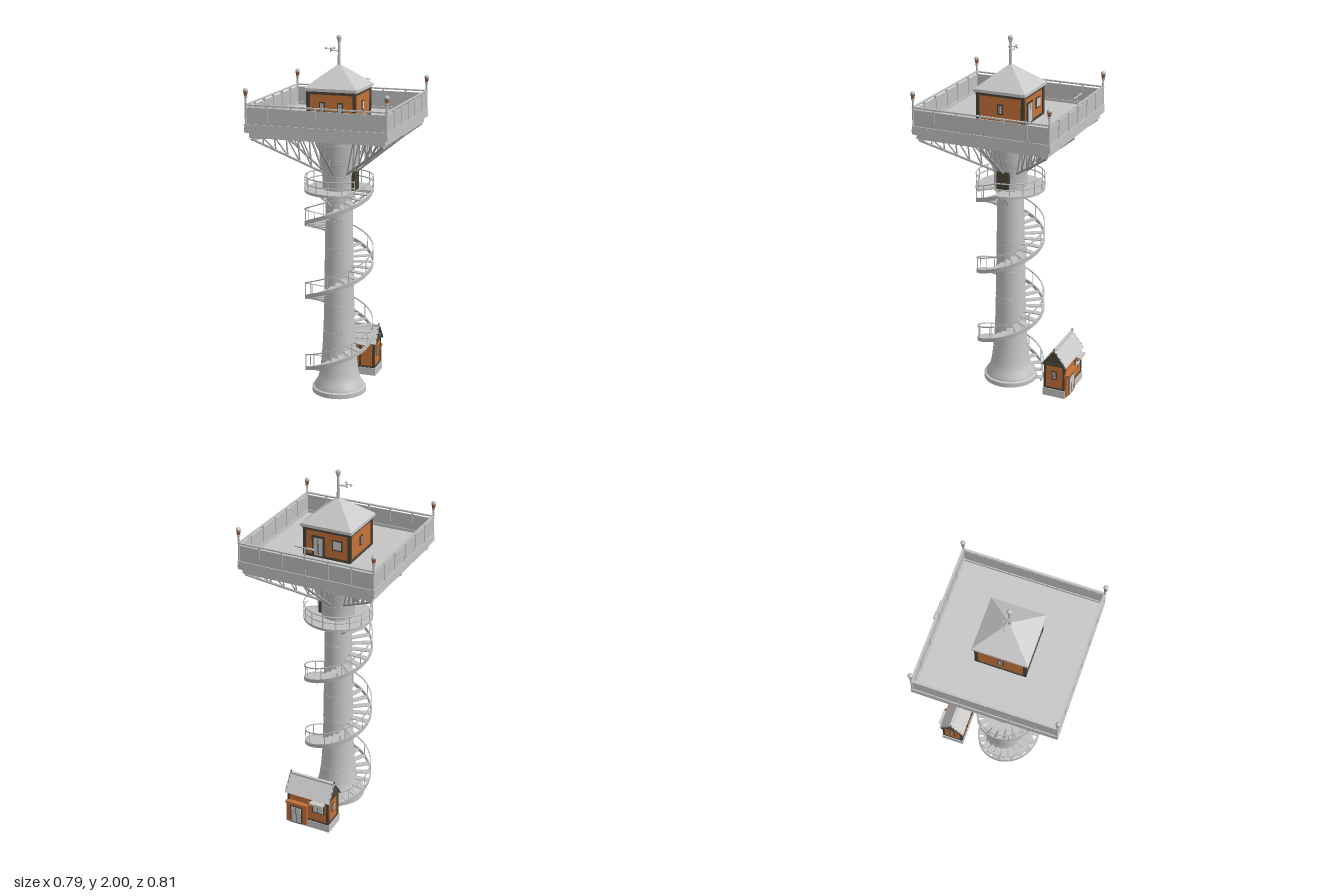
import * as THREE from 'three';
import { toCreasedNormals } from 'three/addons/utils/BufferGeometryUtils.js';

const mat = (name, color) => Object.assign(new THREE.MeshStandardMaterial({ color }), { name });
const M = {
  concrete: mat('concrete', 0xc5c5c5),
  steel: mat('steel', 0xbebfbf),
  truss: mat('truss steel', 0xa4a5a5),
  roof: mat('roof', 0xc8c8c8),
  brick: mat('orange brick', 0xc67238),
  timber: mat('dark timber', 0x4b4337),
  pane: mat('pane', 0xcacccc),
  lamp: mat('lamp', 0x9c5a38),
};
const PI = Math.PI;

function add(parent, name, geo, m, x = 0, y = 0, z = 0) {
  const mesh = new THREE.Mesh(geo, m);
  mesh.name = name;
  mesh.position.set(x, y, z);
  parent.add(mesh);
  return mesh;
}
const box = (p, name, m, w, h, d, x, y, z) => add(p, name, new THREE.BoxGeometry(w, h, d), m, x, y, z);
const cyl = (p, name, m, r0, r1, h, x, y, z, n = 12) => add(p, name, new THREE.CylinderGeometry(r1, r0, h, n), m, x, y, z);
const ball = (p, name, m, r, x, y, z) => add(p, name, new THREE.SphereGeometry(r, 12, 8), m, x, y, z);
function group(parent, name, x = 0, y = 0, z = 0, ry = 0) {
  const g = new THREE.Group();
  g.name = name;
  g.position.set(x, y, z);
  g.rotation.y = ry;
  parent.add(g);
  return g;
}
// Round bar between two points
function bar(p, name, m, a, b, r) {
  const mesh = cyl(p, name, m, r, r, a.distanceTo(b), 0, 0, 0, 6);
  mesh.position.copy(a).add(b).multiplyScalar(0.5);
  mesh.quaternion.setFromUnitVectors(new THREE.Vector3(0, 1, 0), b.clone().sub(a).normalize());
}
const v = (x, y, z = 0) => new THREE.Vector3(x, y, z);
const polar = (a, r, y) => v(r * Math.cos(a), y, -r * Math.sin(a));

// Framed opening in the local xy plane, facing +z
function opening(p, name, w, h, x, y, z, { frame = 0.014, mullion = true } = {}) {
  box(p, name + 'Frame', M.timber, w + frame, h + frame, 0.006, x, y, z);
  box(p, name + 'Pane', M.pane, w, h, 0.009, x, y, z);
  if (mullion) box(p, name + 'Mullion', M.timber, 0.003, h, 0.0095, x, y, z + 0.0005);
}

// Helical stair, rising from the back to the door landing on +x
const A0 = PI / 2, A1 = 6 * PI, RISE = 1.16;
const stairY = a => (RISE * (a - A0)) / (A1 - A0);

function helixBeam(r0, r1, y0, y1, n = 220) {
  const pos = [], idx = [];
  for (let i = 0; i <= n; i++) {
    const a = A0 + ((A1 - A0) * i) / n, y = stairY(a);
    for (const [r, dy] of [[r0, y0], [r1, y0], [r1, y1], [r0, y1]]) pos.push(...polar(a, r, Math.max(0, y + dy)).toArray());
    if (i === n) break;
    for (let k = 0; k < 4; k++) {
      const p = i * 4 + k, q = i * 4 + ((k + 1) % 4);
      idx.push(p, q, p + 4, q, q + 4, p + 4);
    }
  }
  const e = n * 4;
  idx.push(0, 2, 1, 0, 3, 2, e, e + 1, e + 2, e, e + 2, e + 3);
  const g = new THREE.BufferGeometry();
  g.setAttribute('position', new THREE.Float32BufferAttribute(pos, 3));
  g.setIndex(idx);
  return toCreasedNormals(g, 0.6);
}

function buildStair(root) {
  const g = group(root, 'spiralStair');
  const steel = M.steel.clone();
  steel.name = 'stair steel';
  steel.side = THREE.DoubleSide;
  add(g, 'outerStringer', helixBeam(0.183, 0.19, -0.012, 0.01), steel);
  add(g, 'handrail', helixBeam(0.184, 0.19, 0.076, 0.082), steel);
  const steps = 56;
  for (let i = 0; i < steps; i++) {
    const a = A0 + ((i + 0.5) / steps) * (A1 - A0), y = stairY(a);
    const c = polar(a, 0.127, y);
    box(g, 'tread', M.steel, 0.116, 0.005, 0.034, c.x, y, c.z).rotation.y = a;
    if (i % 2 === 0) bar(g, 'baluster', M.steel, polar(a, 0.187, y), polar(a, 0.187, y + 0.08), 0.0025);
  }
}

function buildLanding(root) {
  const g = group(root, 'landing'), arc = 1.75 * PI;
  const s = new THREE.Shape();
  s.absarc(0, 0, 0.19, 0, arc, false);
  s.absarc(0, 0, 0.06, arc, 0, true);
  const slab = new THREE.ExtrudeGeometry(s, { depth: 0.014, bevelEnabled: false, curveSegments: 40 });
  add(g, 'landingSlab', slab.rotateX(-PI / 2), M.steel, 0, 1.155, 0);
  for (const y of [1.205, 1.24])
    add(g, 'landingRail', new THREE.TorusGeometry(0.186, 0.0035, 6, 48, arc).rotateX(-PI / 2), M.steel, 0, y, 0);
  for (let i = 1; i <= 14; i++) {
    const a = (i / 14) * arc;
    bar(g, 'railPost', M.steel, polar(a, 0.186, 1.16), polar(a, 0.186, 1.24), 0.003);
  }
  for (let i = 0; i < 3; i++) {
    const a = 0.22 + (i * 2 * PI) / 3;
    bar(g, 'landingStrut', M.steel, polar(a, 0.07, 1.08), polar(a, 0.17, 1.157), 0.006);
  }
  box(g, 'landingDoor', M.timber, 0.05, 0.105, 0.072, 0.078, 1.222, 0.002);
}

function buildShaft(root) {
  const profile = [[0, 0], [0.152, 0], [0.152, 0.025], [0.14, 0.03], [0.137, 0.045], [0.12, 0.07], [0.109, 0.115], [0.098, 0.2], [0.091, 0.3],
    [0.086, 0.42], [0.079, 0.8], [0.072, 1.155], [0.09, 1.16], [0.092, 1.25], [0.097, 1.27], [0.122, 1.495], [0, 1.495]];
  const geo = new THREE.LatheGeometry(profile.map(p => new THREE.Vector2(...p)), 36);
  add(root, 'shaft', toCreasedNormals(geo, 0.5), M.concrete);
  // Joint rings
  for (const [y, r] of [[0.2, 0.098], [0.36, 0.0885], [0.52, 0.0842], [0.68, 0.0812], [0.84, 0.0782], [1, 0.075], [1.25, 0.092], [1.34, 0.1048], [1.42, 0.1137]])
    add(root, 'jointRing', new THREE.TorusGeometry(r, 0.0014, 4, 36).rotateX(PI / 2), M.concrete, 0, y, 0);
}

function buildTrusses(root) {
  for (let k = 0; k < 8; k++) {
    const g = group(root, 'truss', 0, 0, 0, (k * PI) / 4);
    const tip = k % 2 ? 0.51 : 0.365, n = k % 2 ? 6 : 4;
    const top = t => v(0.115 + (tip - 0.115) * t, 1.485), low = t => v(0.095 + (tip - 0.095) * t, 1.265 + 0.22 * t);
    bar(g, 'lowerChord', M.truss, low(0), low(1), 0.0065);
    bar(g, 'upperChord', M.truss, top(0), top(1), 0.006);
    for (let i = 0; i < n; i++) {
      bar(g, 'trussDiagonal', M.truss, low(i / n), top((i + 1) / n), 0.004);
      if (i) bar(g, 'trussPost', M.truss, low(i / n), top(i / n), 0.004);
    }
  }
}

function buildDeck(root) {
  const g = group(root, 'deck');
  box(g, 'deckBeams', M.concrete, 0.74, 0.03, 0.74, 0, 1.507, 0);
  box(g, 'deckSlab', M.concrete, 0.776, 0.03, 0.776, 0, 1.536, 0);
  for (let k = 0; k < 4; k++) {
    const s = group(g, 'parapet', 0, 0, 0, (k * PI) / 2);
    box(s, 'parapetPanel', M.steel, 0.76, 0.1, 0.006, 0, 1.603, 0.38);
    box(s, 'parapetKerb', M.concrete, 0.772, 0.02, 0.016, 0, 1.556, 0.38);
    box(s, 'parapetRail', M.steel, 0.77, 0.007, 0.012, 0, 1.666, 0.38);
    for (const x of [-0.26, -0.13, 0, 0.13, 0.26]) box(s, 'parapetPost', M.steel, 0.007, 0.108, 0.012, x, 1.61, 0.38);
    // Corner lantern
    cyl(s, 'lanternPost', M.steel, 0.007, 0.005, 0.16, 0.38, 1.63, 0.38);
    ball(s, 'lanternBase', M.steel, 0.009, 0.38, 1.709, 0.38);
    cyl(s, 'lanternGlass', M.lamp, 0.008, 0.012, 0.022, 0.38, 1.725, 0.38);
    ball(s, 'lanternCap', M.steel, 0.013, 0.38, 1.741, 0.38);
  }
  // Crossbar aerial on the rear parapet
  bar(g, 'aerialPost', M.steel, v(0, 1.6, -0.379), v(0, 1.715, -0.379), 0.004);
  bar(g, 'aerialBar', M.steel, v(-0.05, 1.715, -0.379), v(0.055, 1.715, -0.379), 0.004);
  bar(g, 'aerialSleeve', M.steel, v(-0.05, 1.715, -0.379), v(-0.01, 1.715, -0.379), 0.006);
}

function buildCabin(root) {
  const g = group(root, 'cabin');
  box(g, 'cabinWalls', M.brick, 0.262, 0.16, 0.262, 0, 1.63, 0);
  box(g, 'cabinSill', M.timber, 0.272, 0.014, 0.272, 0, 1.557, 0);
  box(g, 'cabinEaves', M.timber, 0.276, 0.016, 0.276, 0, 1.707, 0);
  box(g, 'roofEdge', M.roof, 0.294, 0.016, 0.294, 0, 1.723, 0);
  const pyramid = new THREE.CylinderGeometry(0.006, 0.147 * Math.SQRT2, 0.115, 4).toNonIndexed();
  pyramid.computeVertexNormals();
  add(g, 'cabinRoof', pyramid.rotateY(PI / 4), M.roof, 0, 1.788, 0);
  for (let k = 0; k < 4; k++) {
    const s = group(g, 'cabinSide', 0, 0, 0, (k * PI) / 2);
    box(s, 'cornerPost', M.timber, 0.018, 0.15, 0.018, 0.128, 1.63, 0.128);
    if (k === 2) {
      opening(s, 'cabinDoor', 0.05, 0.1, -0.05, 1.61, 0.132, { frame: 0.024 });
      opening(s, 'cabinWindow', 0.045, 0.045, 0.06, 1.637, 0.132, { mullion: false });
    } else for (const x of k === 0 ? [-0.05, 0.05] : [0]) opening(s, 'cabinWindow', 0.018, 0.042, x, 1.632, 0.132);
  }
  // Mast with wind gauge
  cyl(g, 'mast', M.steel, 0.009, 0.006, 0.14, 0, 1.9, 0);
  cyl(g, 'mastLamp', M.steel, 0.008, 0.012, 0.024, 0, 1.973, 0);
  ball(g, 'mastCap', M.steel, 0.014, 0, 1.986, 0);
  bar(g, 'gaugeArm', M.steel, v(0, 1.915), v(-0.048, 1.915), 0.003);
  bar(g, 'gaugeSpindle', M.steel, v(-0.048, 1.908), v(-0.048, 1.93), 0.003);
  for (let i = 0; i < 3; i++) {
    const a = PI + (i * 2 * PI) / 3, c = polar(a, 0.026, 1.927);
    c.x -= 0.048;
    bar(g, 'cupArm', M.steel, v(-0.048, 1.927), c, 0.002);
    ball(g, 'gaugeCup', M.steel, 0.0065, c.x, c.y, c.z);
  }
}

function buildHut(root) {
  const g = group(root, 'hut', 0, 0, -0.31);
  box(g, 'hutBase', M.concrete, 0.268, 0.045, 0.134, 0, 0.0225, 0);
  box(g, 'hutWalls', M.brick, 0.25, 0.155, 0.12, 0, 0.122, 0);
  box(g, 'wallFoot', M.timber, 0.258, 0.01, 0.127, 0, 0.05, 0);
  box(g, 'wallPlate', M.timber, 0.258, 0.014, 0.127, 0, 0.195, 0);
  const tri = new THREE.Shape([[-0.06, 0.198], [0.06, 0.198], [0, 0.275]].map(p => new THREE.Vector2(...p)));
  const gable = new THREE.ExtrudeGeometry(tri, { depth: 0.25, bevelEnabled: false });
  add(g, 'gable', gable.rotateY(PI / 2), M.timber, -0.125, 0, 0);
  for (const s of [-1, 1]) {
    // Lapped roof courses
    for (let i = 0; i < 3; i++) {
      const t = (i + 0.5) / 3;
      box(g, 'roofCourse', M.roof, 0.276, 0.009, 0.04, 0, 0.194 + 0.09 * t, s * 0.07 * (1 - t)).rotation.x = s * 0.86;
    }
    // Gable trim with knobs
    for (const d of [-1, 1]) {
      bar(g, 'bargeBoard', M.timber, v(s * 0.136, 0.196, d * 0.064), v(s * 0.136, 0.28, 0), 0.006);
      for (const t of [0.2, 0.5, 0.8]) ball(g, 'trimKnob', M.timber, 0.007, s * 0.135, 0.198 + 0.086 * t, d * 0.064 * (1 - t));
      box(g, 'hutCorner', M.timber, 0.014, 0.15, 0.014, s * 0.121, 0.122, d * 0.056);
    }
    cyl(g, 'finial', M.timber, 0.006, 0.003, 0.03, s * 0.134, 0.287, 0);
    const end = group(g, 'hutEnd', 0, 0, 0, (s * PI) / 2);
    opening(end, 'gableWindow', 0.018, 0.04, 0, 0.132, 0.126);
    box(g, 'sidePost', M.timber, 0.01, 0.14, 0.006, s * 0.04, 0.122, 0.061);
  }
  box(g, 'ridgeCap', M.roof, 0.276, 0.012, 0.016, 0, 0.286, 0);
  // Rear entrance, awning window and lamp
  const back = group(g, 'hutBack', 0, 0, 0, PI);
  box(back, 'entranceSurround', M.brick, 0.126, 0.125, 0.018, -0.065, 0.073, 0.067);
  box(back, 'entranceLintel', M.brick, 0.13, 0.016, 0.026, -0.065, 0.14, 0.072);
  opening(back, 'hutDoor', 0.06, 0.1, -0.065, 0.067, 0.077);
  opening(back, 'hutWindow', 0.06, 0.042, 0.065, 0.134, 0.061);
  box(back, 'awning', M.roof, 0.08, 0.012, 0.036, 0.065, 0.178, 0.076);
  ball(back, 'wallLamp', M.lamp, 0.009, 0.013, 0.18, 0.082);
  box(back, 'lampArm', M.timber, 0.004, 0.004, 0.022, 0.013, 0.19, 0.071);
}

export function createModel() {
  const model = new THREE.Group();
  model.name = 'lookoutTower';
  const tower = group(model, 'tower', 0, 0, 0.012);
  buildShaft(tower);
  buildStair(tower);
  buildLanding(tower);
  buildTrusses(tower);
  buildDeck(tower);
  buildCabin(tower);
  buildHut(model);
  return model;
}
